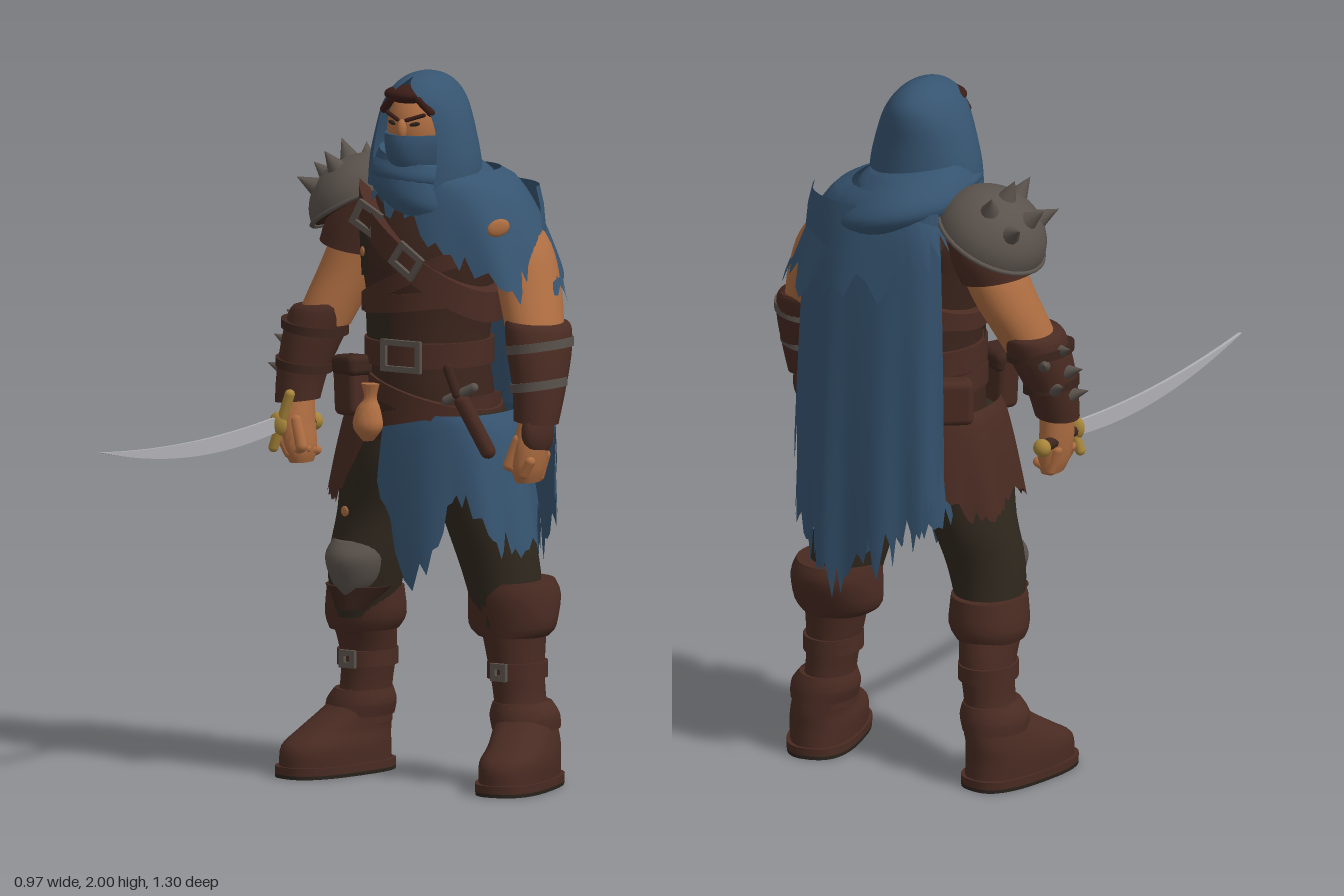
import * as THREE from 'three';
import { mergeVertices, toCreasedNormals } from 'three/addons/utils/BufferGeometryUtils.js';
import { RoundedBoxGeometry } from 'three/addons/geometries/RoundedBoxGeometry.js';

const colour = (name, color, side = THREE.FrontSide) => Object.assign(new THREE.MeshStandardMaterial({ color, side }), { name });
const M = {
  blue: colour('blue cloth', 0x365470, THREE.DoubleSide), leather: colour('brown leather', 0x492b22, THREE.DoubleSide),
  dark: colour('dark leather', 0x3c251d), pants: colour('olive cloth', 0x30281e, THREE.DoubleSide), skin: colour('skin', 0xaf6e42),
  iron: colour('iron', 0x5a524c), steel: colour('steel', 0xb0b0b5), gold: colour('gold', 0xa8853a),
  hair: colour('dark hair', 0x3a1d18), sole: colour('boot sole', 0x2a231d),
};
const rnd = i => { const s = Math.sin(i * 12.9898 + 4.1) * 43758.5453; return s - Math.floor(s); };
const signedPow = (v, p) => Math.sign(v) * Math.abs(v) ** p;

// Catmull-Rom through rows of numbers, t from 0 to 1
function spline(rows, t) {
  const x = t * (rows.length - 1), i = Math.min(Math.floor(x), rows.length - 2), f = x - i;
  const at = k => rows[Math.max(0, Math.min(rows.length - 1, k))];
  return rows[i].map((b, c) => {
    const a = at(i - 1)[c], d = at(i + 1)[c], e = at(i + 2)[c];
    return b + 0.5 * f * (d - a + f * (2 * a - 5 * b + 4 * d - e + f * (3 * (b - d) + e - a)));
  });
}

// Surface from a rule f(column, row) -> [x, y, z]
function grid(nu, nv, f) {
  const pos = [], idx = [], w = nu + 1;
  for (let j = 0; j <= nv; j++) for (let i = 0; i <= nu; i++) pos.push(...f(i, j));
  for (let j = 0; j < nv; j++) for (let i = 0; i < nu; i++) {
    const a = j * w + i, c = a + w;
    idx.push(a, a + 1, c + 1, a, c + 1, c);
  }
  const g = new THREE.BufferGeometry();
  g.setAttribute('position', new THREE.Float32BufferAttribute(pos, 3));
  g.setIndex(idx);
  const m = mergeVertices(g, 1e-5);
  m.computeVertexNormals();
  return m;
}

export function createModel() {
  const root = new THREE.Group();
  root.name = 'hoodedSwordsman';
  const add = (name, mat, geo, p = [0, 0, 0], r = [0, 0, 0], s = [1, 1, 1], parent = root) => {
    const m = new THREE.Mesh(geo, mat);
    m.name = name;
    m.position.set(...p); m.rotation.set(...r); m.scale.set(...s);
    parent.add(m);
    return m;
  };
  // Closed body from rings [x, y, z, radiusX, radiusZ], listed bottom to top
  const loft = (name, mat, rings, { shear = 0, pow = 1, sub = 4, parent = root } = {}) => {
    const n = (rings.length - 1) * sub, seg = 32;
    const geo = grid(seg, n + 2, (i, j) => {
      const [x, y, z, rx, rz] = spline(rings, Math.max(0, Math.min(n, j - 1)) / n);
      const a = (i % seg) / seg * Math.PI * 2 + Math.PI, k = j === 0 || j === n + 2 ? 0 : 1;
      const dx = k * rx * signedPow(Math.sin(a), pow);
      return [x + dx, y + shear * dx, z + k * rz * signedPow(Math.cos(a), pow)];
    });
    return add(name, mat, toCreasedNormals(geo, 0.9), [0, 0, 0], [0, 0, 0], [1, 1, 1], parent);
  };
  const band = (name, mat, x, y, z, rx, rz, h, shear = 0) =>
    loft(name, mat, [[x, y - h / 2, z, rx, rz], [x, y + h / 2, z, rx, rz]], { shear, sub: 1 });
  const ball = (name, mat, p, s, r) => add(name, mat, new THREE.SphereGeometry(1, 24, 16), p, r, s);
  const rod = (name, mat, a, b, r) => {
    const A = new THREE.Vector3(...a), d = new THREE.Vector3(...b).sub(A);
    const m = add(name, mat, new THREE.CapsuleGeometry(r, d.length(), 4, 10), A.clone().addScaledVector(d, 0.5).toArray());
    m.quaternion.setFromUnitVectors(new THREE.Vector3(0, 1, 0), d.normalize());
  };
  const spike = (name, p, dir, h, r) => {
    const d = new THREE.Vector3(...dir).normalize();
    const m = add(name, M.iron, new THREE.ConeGeometry(r, h, 12), new THREE.Vector3(...p).addScaledVector(d, h * 0.4).toArray());
    m.quaternion.setFromUnitVectors(new THREE.Vector3(0, 1, 0), d);
  };
  const buckle = (name, p, w, h, rz = 0) => {
    const rect = (a, b, S) => new S([[-a, -b], [a, -b], [a, b], [-a, b]].map(q => new THREE.Vector2(...q)));
    const s = rect(w / 2, h / 2, THREE.Shape);
    s.holes.push(rect(w / 2 - 0.016, h / 2 - 0.016, THREE.Path));
    add(name, M.iron, new THREE.ExtrudeGeometry(s, { depth: 0.014, bevelEnabled: false }), p, [0, 0, rz]);
  };
  // Hanging torn cloth: angles a0..a1 about a centre (0 = front, PI/2 = +x), ragged lower edge
  const cloth = (name, mat, { c, a0, a1, top, H, rx, rz, p = 1, pow = 0.8, bottom, teeth = 0.08, folds = 9, n = 64 }) => {
    const keys = bottom.map(b => [b]);
    add(name, mat, grid(n, 14, (i, j) => {
      const a = a0 + (a1 - a0) * i / n, yb = spline(keys, i / n)[0] + teeth * (rnd(i) - 0.5) * (i % 2 ? 1.2 : 0.4);
      const y = top + (yb - top) * j / 14, s = Math.max(0, (top - y) / H), g = s ** p;
      const w = 1 + 0.03 * Math.min(1, s) * Math.sin(a * folds);
      return [c[0] + (rx[0] + (rx[1] - rx[0]) * g) * w * signedPow(Math.sin(a), pow), y,
        c[1] + (rz[0] + (rz[1] - rz[0]) * g) * w * signedPow(Math.cos(a), pow)];
    }));
  };

  // Legs, boots and feet
  for (const s of [1, -1]) {
    const L = s > 0, side = L ? 'left' : 'right', kz = L ? -0.42 : -0.37;
    loft(side + 'Trouser', M.pants, [[s * 0.225, 0.45, kz - 0.01, 0.085, 0.1], [s * 0.205, 0.6, kz, 0.108, 0.115],
      [s * 0.175, 0.75, -0.395, 0.12, 0.128], [s * 0.14, 0.9, -0.385, 0.13, 0.145], [s * 0.1, 1.05, -0.38, 0.11, 0.15]]);
    loft(side + 'BootShaft', M.leather, [[s * 0.27, 0.14, -0.44, 0.08, 0.1], [s * 0.255, 0.24, -0.44, 0.068, 0.085],
      [s * 0.245, 0.35, -0.435, 0.076, 0.09], [s * 0.235, 0.47, kz - 0.015, 0.092, 0.105]]);
    loft(side + 'BootCuff', M.leather, L
      ? [[0.235, 0.42, -0.435, 0.1, 0.1], [0.23, 0.45, -0.44, 0.128, 0.11], [0.23, 0.53, -0.45, 0.128, 0.133], [0.225, 0.575, -0.445, 0.118, 0.125]]
      : [[-0.235, 0.41, -0.4, 0.095, 0.105], [-0.23, 0.45, -0.4, 0.112, 0.118], [-0.225, 0.53, -0.39, 0.105, 0.115]], { sub: 3 });
    band(side + 'ShinStrap', M.leather, s * 0.248, 0.325, -0.437, 0.081, 0.096, 0.045);
    buckle(side + 'ShinBuckle', [s * 0.25, 0.325, -0.344], 0.05, 0.05);
    loft(side + 'AnkleFlap', M.leather, [[s * 0.275, 0.16, -0.44, 0.09, 0.11], [s * 0.27, 0.2, -0.44, 0.095, 0.105], [s * 0.262, 0.235, -0.44, 0.078, 0.092]]);
    const foot = new THREE.Group();
    foot.name = side + 'Foot';
    foot.position.set(s * 0.305, 0, -0.36);
    foot.rotation.y = s * 0.22;
    root.add(foot);
    loft('sole', M.sole, [[0, 0, 0, 0.097, 0.2], [0, 0.01, 0, 0.098, 0.2]], { pow: 0.75, sub: 1, parent: foot });
    loft('welt', M.leather, [[0, 0.01, 0, 0.098, 0.2], [0, 0.032, 0, 0.099, 0.2]], { pow: 0.75, sub: 1, parent: foot });
    loft('shoe', M.leather, [[0, 0.03, 0, 0.092, 0.193], [0, 0.085, -0.003, 0.094, 0.186], [0, 0.125, -0.035, 0.086, 0.155],
      [-s * 0.01, 0.17, -0.07, 0.08, 0.115], [-s * 0.02, 0.2, -0.08, 0.07, 0.09]], { pow: 0.85, parent: foot });
  }
  loft('kneePlate', M.iron, [[-0.205, 0.5, -0.32, 0.012, 0.06], [-0.205, 0.55, -0.325, 0.07, 0.085], [-0.205, 0.62, -0.33, 0.094, 0.105], [-0.2, 0.67, -0.34, 0.085, 0.08]]);
  loft('kneePad', M.dark, [[-0.21, 0.475, -0.335, 0.05, 0.08], [-0.21, 0.54, -0.335, 0.098, 0.085]]);

  // Torso, belts and chest straps
  loft('tunic', M.dark, [[0, 0.97, -0.38, 0.19, 0.17], [0, 1.1, -0.375, 0.18, 0.172], [0, 1.2, -0.37, 0.168, 0.165],
    [0, 1.33, -0.375, 0.175, 0.17], [0, 1.48, -0.38, 0.2, 0.182], [0, 1.6, -0.4, 0.21, 0.168], [0, 1.71, -0.4, 0.11, 0.12]]);
  cloth('waistShirtPanel', M.pants, { c: [0, -0.375], a0: -1.3, a1: -0.1, top: 1.34, H: 0.1, rx: [0.182, 0.178], rz: [0.177, 0.174],
    pow: 1, bottom: [1.23, 1.23], teeth: 0, folds: 0, n: 16 });
  cloth('chestShirtPanel', M.pants, { c: [0, -0.385], a0: -1.3, a1: -0.55, top: 1.56, H: 0.14, rx: [0.214, 0.202], rz: [0.18, 0.186],
    pow: 1, bottom: [1.41, 1.43], teeth: 0, folds: 0, n: 16 });
  band('waistBelt', M.leather, 0, 1.215, -0.37, 0.182, 0.18, 0.07);
  band('hipBelt', M.leather, 0.01, 1.09, -0.375, 0.198, 0.185, 0.055, -0.3);
  band('lowerHipBelt', M.leather, 0, 1.04, -0.378, 0.2, 0.185, 0.04, 0.2);
  band('ribBand', M.leather, 0, 1.36, -0.377, 0.186, 0.181, 0.05, 0.12);
  band('chestStrap', M.leather, 0, 1.5, -0.385, 0.208, 0.197, 0.085, -0.75);
  band('crossStrap', M.leather, 0, 1.42, -0.38, 0.197, 0.188, 0.05, 0.45);
  buckle('beltBuckle', [0.025, 1.215, -0.192], 0.13, 0.09);
  buckle('chestBuckle', [0.045, 1.485, -0.188], 0.09, 0.075, -0.6);
  buckle('shoulderBuckle', [-0.11, 1.59, -0.222], 0.085, 0.075, -0.5);

  // Pouches and dagger on the belts
  add('hipPouch', M.leather, new RoundedBoxGeometry(0.11, 0.16, 0.07, 3, 0.02), [-0.17, 1.11, -0.235], [0, -0.5, 0.08]);
  add('pouchFlap', M.dark, new RoundedBoxGeometry(0.118, 0.06, 0.08, 3, 0.02), [-0.17, 1.17, -0.235], [0, -0.5, 0.08]);
  add('backPouch', M.leather, new RoundedBoxGeometry(0.14, 0.13, 0.07, 3, 0.02), [-0.16, 1.12, -0.51], [0, 0.6, 0]);
  loft('coinPouch', M.skin, [[-0.085, 0.97, -0.185, 0.015, 0.015], [-0.085, 1.01, -0.185, 0.044, 0.038], [-0.085, 1.06, -0.188, 0.034, 0.03],
    [-0.08, 1.09, -0.19, 0.018, 0.018], [-0.08, 1.13, -0.19, 0.028, 0.02]]);
  rod('daggerGrip', M.dark, [0.17, 1.19, -0.2], [0.2, 1.12, -0.2], 0.014);
  rod('daggerGuard', M.iron, [0.165, 1.1, -0.2], [0.245, 1.14, -0.215], 0.014);
  rod('daggerSheath', M.leather, [0.21, 1.1, -0.21], [0.27, 0.96, -0.25], 0.022);

  // Torn waist cloth, leather coat tail, cape and shoulder drape
  cloth('waistCloth', M.blue, { c: [0.03, -0.39], a0: -0.3, a1: 4.1, top: 1.05, H: 0.38, rx: [0.2, 0.29], rz: [0.18, 0.203], p: 0.65,
    bottom: [0.86, 0.57, 0.83, 0.75, 0.66, 0.7, 0.75, 0.72, 0.67, 0.7, 0.74, 0.8], teeth: 0.11, n: 72 });
  cloth('coatTail', M.leather, { c: [-0.02, -0.385], a0: 3.7, a1: 6.05, top: 1.08, H: 0.3, rx: [0.2, 0.28], rz: [0.18, 0.205], p: 0.65,
    bottom: [0.85, 0.78, 0.8, 0.84, 0.79, 0.81, 0.96], teeth: 0.05, n: 40 });
  cloth('cape', M.blue, { c: [0.05, -0.4], a0: 1.8, a1: 3.98, top: 1.68, H: 1.1, rx: [0.25, 0.305], rz: [0.195, 0.24], p: 0.5,
    bottom: [1.0, 0.84, 0.74, 0.62, 0.6, 0.7, 0.78, 0.88], teeth: 0.16, folds: 14 });
  cloth('shoulderDrape', M.blue, { c: [0.03, -0.41], a0: -0.6, a1: 4.0, top: 1.72, H: 0.32, rx: [0.14, 0.36], rz: [0.16, 0.23], p: 0.55, pow: 0.85,
    bottom: [1.66, 1.6, 1.51, 1.43, 1.39, 1.42, 1.42, 1.44, 1.5, 1.58], teeth: 0.11 });

  // Skin seen through tears
  ball('shoulderTear', M.skin, [0.287, 1.585, -0.278], [0.034, 0.024, 0.01], [0, 0.9, 0.3]);
  ball('thighTear', M.skin, [-0.22, 0.75, -0.276], [0.017, 0.015, 0.005], [0, -0.35, 0]);
  ball('chestTear', M.skin, [-0.145, 1.49, -0.25], [0.014, 0.014, 0.005], [0, -0.7, 0]);

  // Cowl folds
  loft('cowl', M.blue, [[0.03, 1.61, -0.41, 0.18, 0.2], [0.025, 1.65, -0.415, 0.205, 0.217], [0.01, 1.7, -0.405, 0.18, 0.2], [0, 1.76, -0.375, 0.14, 0.15]], { shear: -0.2 });
  loft('cowlUpperFold', M.blue, [[0, 1.68, -0.39, 0.15, 0.17], [0, 1.715, -0.385, 0.175, 0.18], [0, 1.75, -0.37, 0.145, 0.15]], { shear: -0.08 });

  // Head, mask and hair
  ball('head', M.skin, [0, 1.84, -0.34], [0.097, 0.125, 0.115]);
  ball('nose', M.skin, [0, 1.845, -0.228], [0.015, 0.03, 0.018]);
  loft('mask', M.blue, [[0, 1.69, -0.32, 0.06, 0.07], [0, 1.75, -0.322, 0.08, 0.11], [0, 1.8, -0.33, 0.094, 0.124], [0, 1.83, -0.335, 0.098, 0.122]]);
  ball('fringe', M.hair, [-0.01, 1.938, -0.28], [0.075, 0.026, 0.054]);
  for (const s of [1, -1]) {
    ball('eye', M.sole, [s * 0.037, 1.862, -0.236], [0.016, 0.006, 0.006], [0, s * 0.3, s * 0.2]);
    rod('eyebrow', M.hair, [s * 0.015, 1.873, -0.228], [s * 0.06, 1.888, -0.247], 0.006);
    rod('hairLock', M.hair, [s * 0.045, 1.93, -0.247], [s * 0.078, 1.895, -0.258], 0.012);
  }
  // Hood rows: height, half width, half depth, half opening angle
  const hood = [[1.68, 0.165, 0.15, 0.65], [1.76, 0.16, 0.142, 0.72], [1.84, 0.14, 0.137, 0.76], [1.9, 0.118, 0.136, 0.7],
    [1.94, 0.094, 0.127, 0.5], [1.97, 0.068, 0.1, 0.2], [1.99, 0.038, 0.058, 0], [2, 0.001, 0.001, 0]];
  add('hood', M.blue, grid(40, 35, (i, j) => {
    const [y, rx, rz, o] = spline(hood, j / 35), a = Math.max(0, o) + (2 * Math.PI - 2 * Math.max(0, o)) * i / 40;
    return [rx * Math.sin(a), y, -0.35 + rz * Math.cos(a)];
  }));

  // Arms, bracers and hands
  for (const s of [1, -1]) {
    const L = s > 0, side = L ? 'left' : 'right', d = L ? 0.015 : -0.01, X = x => s * (x + d);
    loft(side + 'Arm', M.skin, [[X(0.35), 1.26, -0.35, 0.075, 0.085], [X(0.33), 1.32, -0.37, 0.08, 0.093], [X(0.295), 1.41, -0.4, 0.085, 0.1],
      [X(0.25), 1.52, -0.42, 0.085, 0.1], [X(0.18), 1.63, -0.42, 0.07, 0.085]]);
    loft(side + 'Bracer', M.leather, [[X(0.392), 1.05, -0.285, 0.062, 0.066], [X(0.388), 1.13, -0.305, 0.07, 0.08],
      [X(0.37), 1.23, -0.335, 0.085, 0.1], [X(0.355), 1.3, -0.355, 0.089, 0.105], [X(0.35), 1.32, -0.36, 0.083, 0.098]], { shear: -s * 0.1 });
    [[0.37, 1.255, -0.34, 0.09, 0.106], [0.386, 1.15, -0.308, 0.076, 0.088]].forEach(([x, y, z, a, b]) =>
      band(side + 'BracerBand', L ? M.iron : M.dark, X(x), y, z, a, b, 0.025, s * 0.15));
    loft(side + 'Hand', M.skin, [[X(0.372), 0.88, -0.275, 0.028, 0.045], [X(0.375), 0.92, -0.272, 0.042, 0.058], [X(0.385), 0.99, -0.275, 0.045, 0.06], [X(0.39), 1.06, -0.285, 0.045, 0.05]]);
    for (let k = 0; k < 4; k++) {
      const z = -0.31 + k * 0.026;
      rod(side + 'Finger', M.skin, [X(0.405), 0.955 - k * 0.004, z], [X(0.385), 0.893 + k * 0.005, z], 0.016);
      rod(side + 'Fingertip', M.skin, [X(0.385), 0.893 + k * 0.005, z], [X(0.345), 0.91 + k * 0.005, z], 0.014);
    }
    rod(side + 'Thumb', M.skin, [X(0.365), 1.0, -0.235], [X(0.34), 0.93, -0.225], 0.017);
  }
  ball('leftGloveBack', M.leather, [0.417, 1.02, -0.278], [0.035, 0.07, 0.066]);
  loft('rightSleeve', M.leather, [[-0.265, 1.48, -0.41, 0.102, 0.112], [-0.24, 1.55, -0.42, 0.105, 0.115], [-0.19, 1.64, -0.42, 0.09, 0.1]], { shear: -0.2 });
  [[-0.435, 1.27, -0.36], [-0.448, 1.205, -0.335], [-0.447, 1.13, -0.31], [-0.41, 1.24, -0.41], [-0.425, 1.16, -0.37]]
    .forEach(([x, y, z]) => spike('bracerSpike', [x, y, z], [x + 0.36, 0.03, z + 0.33], 0.055, 0.021));

  // Spiked shoulder plate
  const tilt = 0.5, pc = [-0.25, 1.6, -0.425], pr = [0.16, 0.135, 0.16];
  const turn = new THREE.Vector3(0, 0, 1);
  add('shoulderPlate', M.iron, new THREE.SphereGeometry(1, 32, 14, 0, Math.PI * 2, 0, Math.PI / 2), pc, [0, 0, tilt], pr);
  add('plateUnderside', M.dark, new THREE.CircleGeometry(1, 32).rotateX(Math.PI / 2), pc, [0, 0, tilt], pr);
  add('plateRim', M.iron, new THREE.TorusGeometry(1, 0.05, 8, 32).rotateX(Math.PI / 2), pc, [0, 0, tilt], pr);
  for (const z of [-0.52, 0, 0.52]) for (const x of [-0.48, 0.08]) {
    const u = [x, Math.sqrt(1 - x * x - z * z), z];
    const p = new THREE.Vector3(...u.map((v, k) => v * pr[k])).applyAxisAngle(turn, tilt).add(new THREE.Vector3(...pc));
    const n = new THREE.Vector3(...u.map((v, k) => v / pr[k])).applyAxisAngle(turn, tilt);
    spike('shoulderSpike', p.toArray(), n.toArray(), 0.062, 0.028);
  }

  // Curved sword
  const blade = new THREE.Shape();
  blade.moveTo(0, 0.968);
  blade.quadraticCurveTo(0.42, 0.905, 0.855, 1.01);
  blade.quadraticCurveTo(0.42, 0.965, 0, 1.01);
  const bladeGeo = new THREE.ExtrudeGeometry(blade, { depth: 0.01, bevelEnabled: false, curveSegments: 24 });
  add('swordBlade', M.steel, bladeGeo.translate(0, 0, -0.005).rotateY(-Math.PI / 2), [-0.4, 0, -0.2], [0, -0.04, 0]);
  rod('swordGuard', M.gold, [-0.36, 1.075, -0.21], [-0.41, 0.925, -0.205], 0.015);
  ball('guardBoss', M.gold, [-0.395, 0.99, -0.205], [0.028, 0.035, 0.018]);
  rod('swordGrip', M.dark, [-0.395, 0.985, -0.21], [-0.385, 0.98, -0.36], 0.018);
  ball('pommel', M.gold, [-0.385, 0.98, -0.375], [0.026, 0.026, 0.022]);
  return root;
}
